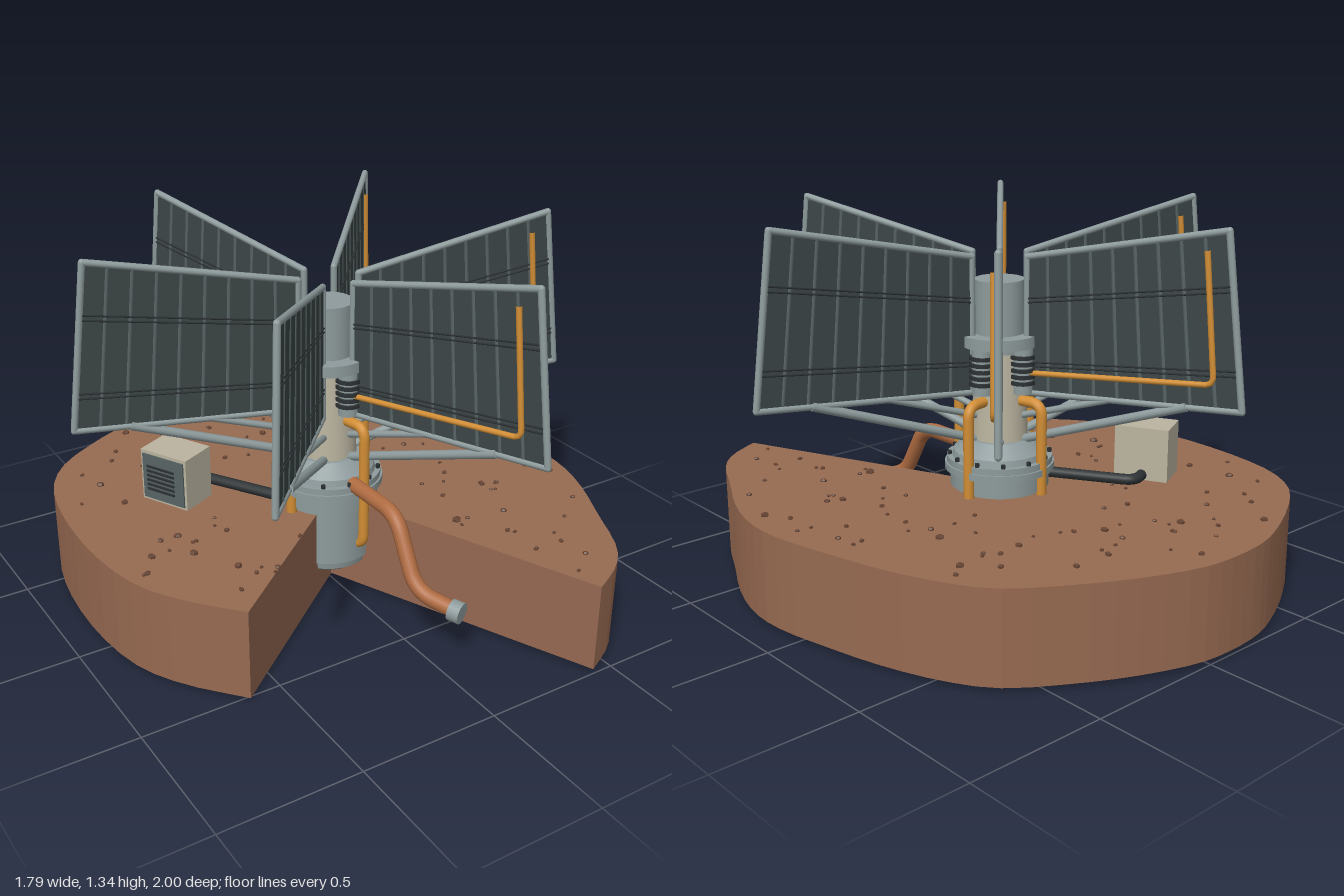
import * as THREE from 'three';
import { mergeGeometries } from 'three/addons/utils/BufferGeometryUtils.js';

const mat = (name, color, extra = {}) => {
  const m = new THREE.MeshStandardMaterial({ color, ...extra });
  m.name = name;
  return m;
};
const V = (x, y, z) => new THREE.Vector3(x, y, z);

export function createModel() {
  const model = new THREE.Group();
  model.name = 'surfaceReactor';
  const soil = mat('soil', 0x976a51, { side: THREE.DoubleSide, flatShading: true });
  const stone = mat('stone', 0x654433, { flatShading: true });
  const metal = mat('metal', 0x8e9b9c);
  const cream = mat('cream', 0xbbb4a0);
  const panelDark = mat('panelDark', 0x3c4647);
  const slate = mat('slate', 0x586465);
  const black = mat('black', 0x2c3133);
  const gold = mat('gold', 0xd28e35);
  const copper = mat('copper', 0xb06c42);

  const add = (parent, name, geometry, material, x = 0, y = 0, z = 0) => {
    const mesh = new THREE.Mesh(geometry, material);
    mesh.name = name;
    mesh.position.set(x, y, z);
    parent.add(mesh);
    return mesh;
  };
  // Straight rod between two points
  const rod = (a, b, r, sides = 10) => {
    const g = new THREE.CylinderGeometry(r, r, a.distanceTo(b), sides);
    const q = new THREE.Quaternion().setFromUnitVectors(V(0, 1, 0), b.clone().sub(a).normalize());
    const mid = a.clone().add(b).multiplyScalar(0.5);
    return g.applyQuaternion(q).translate(mid.x, mid.y, mid.z);
  };
  // Pipe with straight runs and rounded corners
  const pipe = (points, r, bend) => {
    const path = new THREE.CurvePath();
    let from = points[0];
    for (let i = 1; i < points.length - 1; i++) {
      const p = points[i];
      const before = p.clone().add(points[i - 1].clone().sub(p).setLength(bend));
      const after = p.clone().add(points[i + 1].clone().sub(p).setLength(bend));
      path.add(new THREE.LineCurve3(from, before));
      path.add(new THREE.QuadraticBezierCurve3(before, p, after));
      from = after;
    }
    path.add(new THREE.LineCurve3(from, points[points.length - 1]));
    return new THREE.TubeGeometry(path, 64, r, 12);
  };

  // Ground block: hollow, with a wedge cut out at the front
  const TOP = 0.34;
  const rim = [[-0.62, 0.52], [-0.77, 0.34], [-0.86, 0.16], [-0.895, -0.08], [-0.885, -0.35],
    [-0.835, -0.58], [-0.73, -0.74], [-0.555, -0.86], [-0.37, -0.95], [-0.24, -0.99], [-0.09, -1],
    [0.05, -0.985], [0.24, -0.915], [0.42, -0.82], [0.61, -0.69], [0.715, -0.53], [0.795, -0.32],
    [0.85, -0.1], [0.89, 0.1], [0.885, 0.27], [0.83, 0.45], [0.74, 0.635], [0.65, 0.82],
    [0.555, 0.925], [0.42, 1]].map(([x, z]) => new THREE.Vector2(x, z));
  const edge = new THREE.SplineCurve(rim).getPoints(60);
  const outline = [...edge, new THREE.Vector2(0.015, 0)];
  const ground = new THREE.Group();
  ground.name = 'ground';
  model.add(ground);
  const topShape = new THREE.Shape(outline.map(p => new THREE.Vector2(p.x, -p.y)));
  add(ground, 'groundTop', new THREE.ShapeGeometry(topShape).rotateX(-Math.PI / 2), soil, 0, TOP, 0);
  const wall = [];
  outline.forEach((a, i) => {
    const b = outline[(i + 1) % outline.length];
    const a0 = [a.x, 0.015 * a.lengthSq(), a.y], b0 = [b.x, 0.015 * b.lengthSq(), b.y];
    const a1 = [a.x, TOP, a.y], b1 = [b.x, TOP, b.y];
    wall.push(...a0, ...b1, ...b0, ...a0, ...a1, ...b1);
  });
  const wallGeo = new THREE.BufferGeometry();
  wallGeo.setAttribute('position', new THREE.Float32BufferAttribute(wall, 3));
  wallGeo.computeVertexNormals();
  add(ground, 'groundWall', wallGeo, soil);

  // Scattered stones
  let seed = 11;
  const rand = () => (seed = (seed * 16807) % 2147483647) / 2147483647;
  const stones = [];
  for (let i = 0; i < 100; i++) {
    const p = edge[Math.floor(rand() * edge.length)];
    const t = Math.sqrt(0.14 + 0.76 * rand());
    const s = 0.006 + 0.01 * rand() * rand();
    stones.push(new THREE.DodecahedronGeometry(s).scale(1, 0.8, 1.2)
      .rotateY(rand() * 6).translate(p.x * t, TOP + 0.003, p.y * t));
  }
  add(ground, 'stones', mergeGeometries(stones), stone);

  // Reactor vessel, flange and tower
  const core = new THREE.Group();
  core.name = 'reactor';
  core.position.set(0.005, 0, -0.005);
  model.add(core);
  const lathe = (name, profile, material) => add(core, name, mergeGeometries(
    // each segment is a separate ring so edges stay sharp
    profile.slice(1).map((p, i) => new THREE.LatheGeometry(
      [new THREE.Vector2(...profile[i]), new THREE.Vector2(...p)], 32))), material);
  lathe('vessel', [[0, 0.045], [0.06, 0.06], [0.115, 0.085], [0.15, 0.11], [0.155, 0.14],
    [0.165, 0.14], [0.165, 0.35], [0.178, 0.35], [0.178, 0.41], [0.197, 0.41], [0.197, 0.435],
    [0.19, 0.435], [0.19, 0.458], [0.17, 0.458], [0.165, 0.48], [0.115, 0.525], [0, 0.525]], metal);
  lathe('tower', [[0.102, 0.52], [0.086, 0.87]], cream);
  lathe('towerCap', [[0.088, 0.84], [0.088, 1.095], [0, 1.095]], metal);
  lathe('collar', [[0.088, 0.865], [0.143, 0.865], [0.143, 0.905], [0.088, 0.905]], metal);
  const bolts = [];
  for (let i = 0; i < 12; i++) {
    const a = (i + 0.25) * Math.PI / 6;
    bolts.push(new THREE.CylinderGeometry(0.008, 0.008, 0.02, 6)
      .translate(0.18 * Math.cos(a), 0.462, 0.18 * Math.sin(a)));
  }
  add(core, 'flangeBolts', mergeGeometries(bolts), black);

  // Four finned converters, each with a coolant pipe down to the vessel
  for (let i = 0; i < 4; i++) {
    const unit = new THREE.Group();
    unit.name = 'converter';
    unit.rotation.y = -(78 + 90 * i) * Math.PI / 180;
    core.add(unit);
    add(unit, 'converterBody', new THREE.CylinderGeometry(0.038, 0.038, 0.17, 16), metal, 0.1, 0.785, 0);
    for (let k = 0; k < 5; k++)
      add(unit, 'converterFin', new THREE.CylinderGeometry(0.047, 0.047, 0.013, 18), black, 0.1, 0.74 + k * 0.023, 0);
    add(unit, 'coolantPipe', pipe([V(0.08, 0.67, 0), V(0.182, 0.67, 0), V(0.182, 0.2, 0),
      V(0.13, 0.2, 0)], 0.019, 0.045), gold);
  }

  // Six radiator wings
  const corners = [V(0.11, 0.7, 0), V(0.9, 0.745, 0), V(0.83, 1.325, 0), V(0.11, 1.18, 0)];
  const at = (u, v, z = 0) => corners[0].clone().lerp(corners[1], u)
    .lerp(corners[3].clone().lerp(corners[2], u), v).setZ(z);
  const plate = new THREE.ExtrudeGeometry(
    new THREE.Shape(corners.map(c => new THREE.Vector2(c.x, c.y))), { depth: 0.01, bevelEnabled: false })
    .translate(0, 0, -0.005);
  const frame = mergeGeometries(corners.flatMap((c, i) => [
    rod(c, corners[(i + 1) % 4], 0.012), new THREE.SphereGeometry(0.012, 10, 8).translate(c.x, c.y, 0)]));
  const ribs = [], straps = [];
  for (let k = 1; k < 9; k++) ribs.push(rod(at(k / 9, 0.02), at(k / 9, 0.98), 0.0085, 8));
  for (const z of [-0.006, 0.006])
    for (const v of [0.2, 0.23, 0.67, 0.7]) straps.push(rod(at(0.01, v, z), at(0.99, v, z), 0.0035, 6));
  const ribGeo = mergeGeometries(ribs), strapGeo = mergeGeometries(straps);
  const feed = pipe([V(0.08, 0.772, 0.014), V(0.805, 0.825, 0.014), V(0.765, 1.26, 0.014)], 0.01, 0.03);
  const lowerStrut = rod(V(0.09, 0.525, 0), V(0.71, 0.735, 0), 0.016);
  const upperStrut = rod(V(0.08, 0.61, 0), V(0.43, 0.718, 0), 0.012);
  for (let i = 0; i < 6; i++) {
    const wing = new THREE.Group();
    wing.name = 'radiatorWing';
    wing.rotation.y = -(12 + 60 * i) * Math.PI / 180;
    core.add(wing);
    add(wing, 'radiatorPlate', plate, panelDark);
    add(wing, 'radiatorFrame', frame, metal);
    add(wing, 'radiatorRibs', ribGeo, slate);
    add(wing, 'radiatorStraps', strapGeo, black);
    add(wing, 'feedPipe', feed, gold);
    add(wing, 'lowerStrut', lowerStrut, metal);
    add(wing, 'upperStrut', upperStrut, metal);
  }

  // Drain pipe at the front with its end cap
  add(model, 'drainPipe', pipe([V(0.005, 0.455, 0.12), V(0.01, 0.455, 0.42), V(0, 0.23, 0.56),
    V(0.065, 0.205, 0.7)], 0.028, 0.07), copper);
  add(model, 'drainCap', rod(V(0.055, 0.207, 0.685), V(0.073, 0.203, 0.722), 0.038, 16), metal);

  // Control box with louvred side and cable
  const box = new THREE.Group();
  box.name = 'controlBox';
  box.position.set(-0.47, TOP, -0.285);
  box.rotation.y = 0.46;
  model.add(box);
  add(box, 'boxBody', new THREE.BoxGeometry(0.145, 0.2, 0.2), cream, 0, 0.098, 0);
  add(box, 'boxSidePanel', new THREE.BoxGeometry(0.008, 0.175, 0.18), slate, -0.074, 0.098, 0);
  for (let k = 0; k < 6; k++)
    add(box, 'louvre', new THREE.BoxGeometry(0.008, 0.008, 0.12), black, -0.079, 0.05 + k * 0.018, -0.01);
  add(model, 'cable', pipe([V(-0.15, 0.36, -0.02), V(-0.345, 0.36, -0.35), V(-0.43, 0.36, -0.31)],
    0.02, 0.05), black);

  return model;
}
